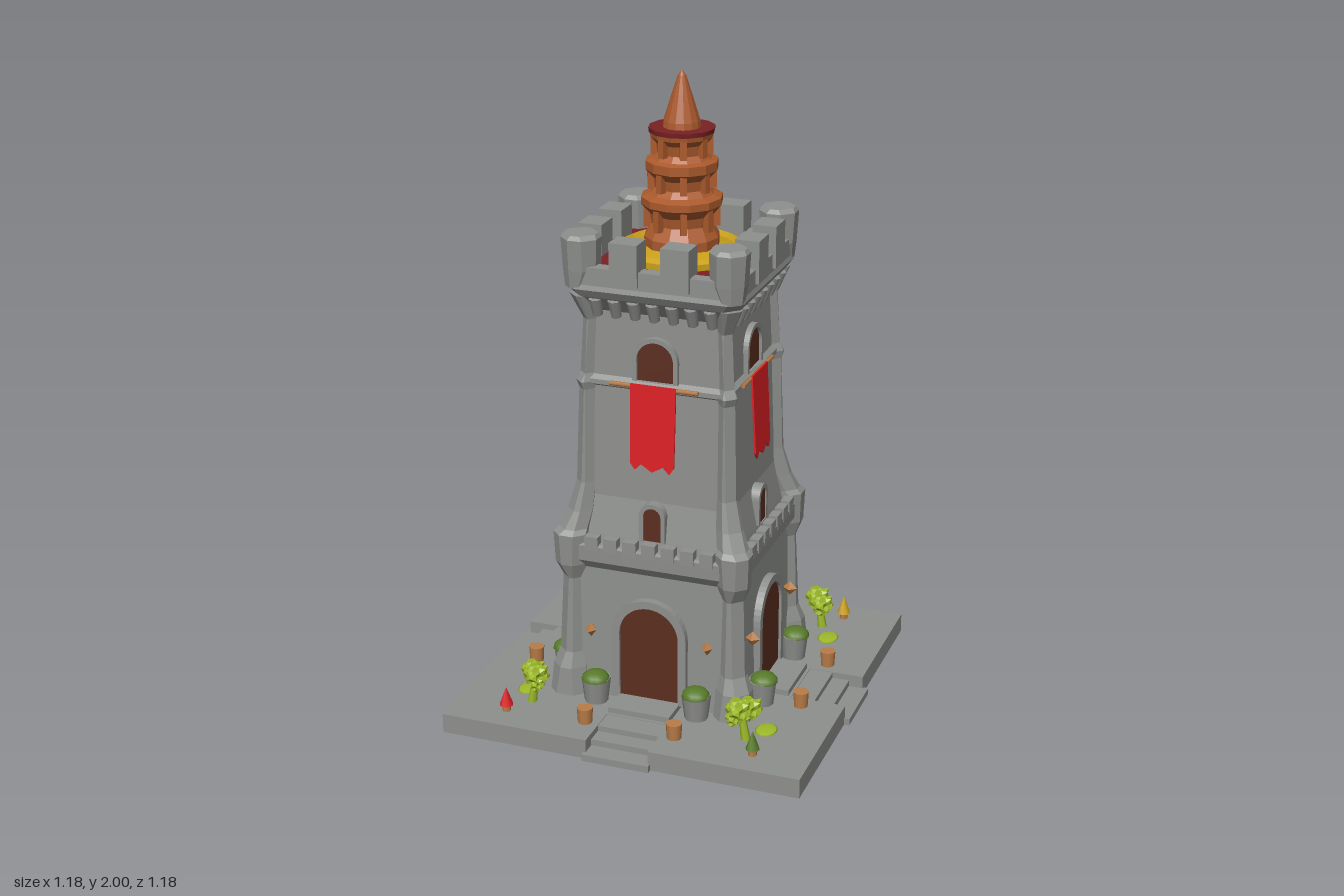
import * as THREE from 'three';

const paint = (name, color) => {
  const m = new THREE.MeshStandardMaterial({ color });
  m.name = name;
  return m;
};

// Stack of chamfered squares; each row is [y, half width, chamfer, centre offset on x and z]
function loft(rows) {
  const rings = rows.map(([y, h, c, o = 0]) => [
    [h, h - c], [h - c, h], [c - h, h], [-h, h - c],
    [-h, c - h], [c - h, -h], [h - c, -h], [h, c - h],
  ].map(([x, z]) => [x + o, y, z + o]));
  const pos = [];
  const tri = (a, b, c) => pos.push(...a, ...b, ...c);
  for (let r = 0; r < rings.length - 1; r++) {
    for (let i = 0; i < 8; i++) {
      const j = (i + 1) % 8, a = rings[r], b = rings[r + 1];
      tri(a[i], b[i], b[j]);
      tri(a[i], b[j], a[j]);
    }
  }
  const low = rings[0], top = rings[rings.length - 1];
  for (let i = 1; i < 7; i++) {
    tri(low[0], low[i], low[i + 1]);
    tri(top[0], top[i + 1], top[i]);
  }
  const g = new THREE.BufferGeometry();
  g.setAttribute('position', new THREE.Float32BufferAttribute(pos, 3));
  g.computeVertexNormals();
  return g;
}

const polygon = pts => new THREE.Shape(pts.map(p => new THREE.Vector2(...p)));

// Round-topped opening outline
function arch(w, y0, y1, Type = THREE.Shape) {
  const s = new Type();
  s.moveTo(-w, y0);
  s.lineTo(w, y0);
  s.lineTo(w, y1 - w);
  s.absarc(0, y1 - w, w, 0, Math.PI, false);
  s.closePath();
  return s;
}

const extrude = (shape, depth) =>
  new THREE.ExtrudeGeometry(shape, { depth, bevelEnabled: false, curveSegments: 10 });

export function createModel() {
  const stone = paint('stone grey', 0x8e908d), wood = paint('dark wood', 0x5c2e20);
  const red = paint('banner red', 0xdc1f24), maroon = paint('roof maroon', 0x7a2024);
  const gold = paint('gold', 0xc9a01a), copper = paint('copper', 0xab5a2c);
  const tan = paint('tan', 0xb97c48), lime = paint('lime leaf', 0x9dba2a);
  const green = paint('dark leaf', 0x587a2a);
  const model = new THREE.Group();
  model.name = 'castleTower';

  const add = (parent, name, geo, mat, x = 0, y = 0, z = 0) => {
    const m = new THREE.Mesh(geo, mat);
    m.name = name;
    m.position.set(x, y, z);
    parent.add(m);
    return m;
  };
  const box = (parent, name, mat, w, h, d, x, y, z) =>
    add(parent, name, new THREE.BoxGeometry(w, h, d), mat, x, y, z);

  // Ground slab with a stair notch in every side
  const outline = [];
  for (let i = 0; i < 4; i++) {
    for (const p of [[-0.575, -0.575], [-0.1, -0.575], [-0.1, -0.4], [0.1, -0.4], [0.1, -0.575]]) {
      let [x, y] = p;
      for (let k = 0; k < i; k++) [x, y] = [-y, x];
      outline.push([x, y]);
    }
  }
  add(model, 'groundSlab', extrude(polygon(outline), 0.062).rotateX(-Math.PI / 2), stone);

  // Tower body
  add(model, 'towerBody', loft([[0.05, 0.285, 0.02], [0.5, 0.275, 0.02], [0.6, 0.26, 0.02],
    [0.72, 0.237, 0.02], [1.34, 0.215, 0.02]]), stone);
  add(model, 'lowerBand', loft([[0.49, 0.275, 0.02], [0.52, 0.298, 0.02], [0.57, 0.3, 0.02],
    [0.575, 0.29, 0.02]]), stone);
  add(model, 'upperLedge', loft([[1.07, 0.222, 0.02], [1.08, 0.238, 0.02], [1.095, 0.238, 0.02],
    [1.11, 0.22, 0.02]]), stone);
  add(model, 'cornice', loft([[1.31, 0.22, 0.03], [1.36, 0.262, 0.04], [1.385, 0.278, 0.04],
    [1.4, 0.274, 0.04], [1.435, 0.274, 0.04]]), stone);

  // Parapet ring and roof floor
  const sq = (h, c) => [[h, c - h], [h, h - c], [h - c, h], [c - h, h], [-h, h - c], [-h, c - h], [c - h, -h], [h - c, -h]];
  const ring = polygon(sq(0.274, 0.04));
  ring.holes.push(polygon(sq(0.23, 0.05)));
  add(model, 'parapet', extrude(ring, 0.06).rotateX(-Math.PI / 2), stone, 0, 1.395, 0);
  add(model, 'roofFloor', loft([[1.42, 0.235, 0.05], [1.443, 0.235, 0.05]]), maroon);

  // Everything repeated on the four faces
  for (let i = 0; i < 4; i++) {
    const side = new THREE.Group();
    side.name = ['frontSide', 'leftSide', 'backSide', 'rightSide'][i];
    side.rotation.y = i * Math.PI / 2;
    model.add(side);

    // Corner buttress and corner battlement: [y, outer, inner]
    const post = rows => loft(rows.map(([y, o, n, c]) => [y, (o - n) / 2, c, (o + n) / 2]));
    add(side, 'cornerPost', post([[0.05, 0.33, 0.21, 0.03], [0.15, 0.322, 0.215, 0.035],
      [0.2, 0.304, 0.22, 0.03], [0.45, 0.294, 0.22, 0.03], [0.5, 0.312, 0.215, 0.03],
      [0.6, 0.316, 0.21, 0.03], [0.615, 0.302, 0.21, 0.03], [0.67, 0.28, 0.2, 0.03],
      [0.76, 0.257, 0.195, 0.025], [1.06, 0.248, 0.195, 0.025], [1.085, 0.255, 0.195, 0.025],
      [1.11, 0.244, 0.195, 0.025], [1.28, 0.235, 0.19, 0.02], [1.36, 0.268, 0.19, 0.03]]), stone);
    add(side, 'cornerMerlon', post([[1.385, 0.276, 0.2, 0.025], [1.44, 0.282, 0.178, 0.03],
      [1.535, 0.288, 0.174, 0.035], [1.548, 0.28, 0.182, 0.035]]), stone);
    for (const s of [-1, 1]) {
      box(side, 'merlon', stone, 0.088, 0.13, 0.075, s * 0.08, 1.475, 0.247);
      add(side, 'wallLantern', new THREE.OctahedronGeometry(0.024), tan, s * 0.19, 0.29, 0.3).scale.x = 0.75;

      // Planters beside the door
      add(side, 'planterPot', new THREE.CylinderGeometry(0.046, 0.036, 0.085, 10), stone, s * 0.165, 0.1, 0.325);
      add(side, 'planterBush', new THREE.SphereGeometry(0.044, 12, 6, 0, Math.PI * 2, 0, Math.PI / 2),
        green, s * 0.165, 0.138, 0.33).scale.y = 0.65;
      add(side, 'stump', new THREE.CylinderGeometry(0.025, 0.022, 0.05, 10), tan, s * 0.145, 0.087, i % 2 ? 0.445 : 0.468);
    }
    for (let k = -3; k <= 3; k++) {
      box(side, 'lowerMerlon', stone, 0.043, 0.045, 0.03, k * 0.062, 0.58, 0.287);
      const corbel = add(side, 'corbel', new THREE.CylinderGeometry(0.022, 0.016, 0.06, 8), stone, k * 0.06, 1.33, 0.243);
      corbel.rotation.x = 0.3;
    }

    // Door and windows: [name, half width, bottom, top, panel z, frame front z, frame width]
    for (const [name, w, y0, y1, z, front, rim] of [
      ['door', 0.096, 0.075, 0.39, 0.287, 0.302, 0.025],
      ['lowerWindow', 0.028, 0.6, 0.71, 0.258, 0.268, 0.014],
      ['upperWindow', 0.058, 1.105, 1.23, 0.222, 0.237, 0.014],
    ]) {
      add(side, name, extrude(arch(w, y0, y1), 0.006), wood, 0, 0, z);
      const frame = arch(w + rim, y0, y1 + rim);
      frame.holes.push(arch(w, y0 + 0.001, y1, THREE.Path));
      add(side, name + 'Frame', extrude(frame, front - 0.21), stone, 0, 0, 0.21);
    }

    // Hanging banner with a notched hem and its rod
    const cloth = polygon([[-0.072, 0], [-0.07, -0.25], [-0.055, -0.27], [-0.035, -0.25], [0, -0.272],
      [0.035, -0.252], [0.055, -0.272], [0.07, -0.25], [0.072, 0]]);
    add(side, 'banner', extrude(cloth, 0.006), i === 2 ? wood : red, 0, 1.1, 0.246).rotation.x = -0.05;
    if (i === 2) box(side, 'bannerTop', red, 0.144, 0.03, 0.006, 0, 1.086, 0.254);
    add(side, 'bannerRod', new THREE.CylinderGeometry(0.007, 0.007, 0.28, 6).rotateZ(Math.PI / 2), tan, 0, 1.092, 0.245);

    // Stairs and door sill
    [[0.475, 0.06], [0.53, 0.042], [0.592, 0.022]].forEach(([end, h]) =>
      box(side, 'stair', stone, 0.215, h, end - 0.38, 0, h / 2, (end + 0.38) / 2));
    box(side, 'doorSill', stone, 0.2, 0.03, 0.12, 0, 0.065, 0.33);
  }

  // Gold dish and copper spire
  const lathe = (name, pts, mat, n) => add(model, name,
    new THREE.LatheGeometry(pts.map(p => new THREE.Vector2(...p)), n).toNonIndexed(), mat).geometry.computeVertexNormals();
  lathe('goldDish', [[0.197, 1.44], [0.197, 1.462], [0.178, 1.472], [0.165, 1.458], [0.1, 1.475]], gold, 32);
  lathe('spire', [[0.115, 1.45], [0.115, 1.5], [0.092, 1.54], [0.097, 1.57], [0.124, 1.6], [0.124, 1.622],
    [0.098, 1.632], [0.082, 1.65], [0.086, 1.68], [0.11, 1.705], [0.11, 1.732], [0.09, 1.738],
    [0.074, 1.755], [0.078, 1.785], [0.094, 1.803], [0.098, 1.826], [0.05, 1.828]], copper, 12);
  add(model, 'spireCollar', new THREE.CylinderGeometry(0.101, 0.099, 0.014, 12), maroon, 0, 1.824, 0);
  lathe('spireTip', [[0.058, 1.828], [0.055, 1.85], [0.03, 1.93], [0.012, 1.985], [0, 2]], copper, 14);
  for (const [y, r, h] of [[1.565, 0.104, 0.075], [1.675, 0.092, 0.06], [1.777, 0.082, 0.055]]) {
    for (let k = 0; k < 8; k++) {
      const a = k * Math.PI / 4 + Math.PI / 8;
      box(model, 'spireRib', copper, 0.02, h, 0.022, Math.sin(a) * r, y, Math.cos(a) * r).rotation.y = a;
    }
  }

  // Corner gardens: leaning tree, grass patch and a small cone plant
  const crown = new THREE.IcosahedronGeometry(1, 2);
  const p = crown.attributes.position, v = new THREE.Vector3();
  for (let k = 0; k < p.count; k++) {
    v.fromBufferAttribute(p, k);
    v.multiplyScalar(1 + 0.28 * Math.sin(v.x * 6 + 1) * Math.sin(v.y * 7) + 0.15 * Math.sin(v.z * 8));
    p.setXYZ(k, v.x, v.y, v.z);
  }
  crown.computeVertexNormals();
  for (const sx of [-1, 1]) for (const sz of [-1, 1]) {
    const trunk = add(model, 'treeTrunk', new THREE.CylinderGeometry(0.01, 0.016, 0.08, 6), lime, sx * 0.345, 0.095, sz * 0.4);
    trunk.rotation.z = sx * 0.15;
    for (const [x, y, z, r] of [[0.355, 0.152, 0.375, 0.034], [0.33, 0.158, 0.41, 0.036], [0.32, 0.14, 0.43, 0.022]])
      add(model, 'treeCrown', crown, lime, sx * x, y, sz * z).scale.setScalar(r);
    const patch = add(model, 'grassPatch', new THREE.SphereGeometry(0.04, 12, 6), lime, sx * 0.392, 0.062, sz * 0.327);
    patch.scale.set(0.85, 0.15, 1.1);
    const mat = sx * sz > 0 ? green : sx > 0 ? gold : red;
    add(model, 'plantStem', new THREE.CylinderGeometry(0.012, 0.014, 0.03, 6), tan, sx * 0.4, 0.075, sz * 0.484);
    add(model, 'conePlant', new THREE.ConeGeometry(0.022, 0.06, 8), mat, sx * 0.4, 0.112, sz * 0.484);
  }
  return model;
}
